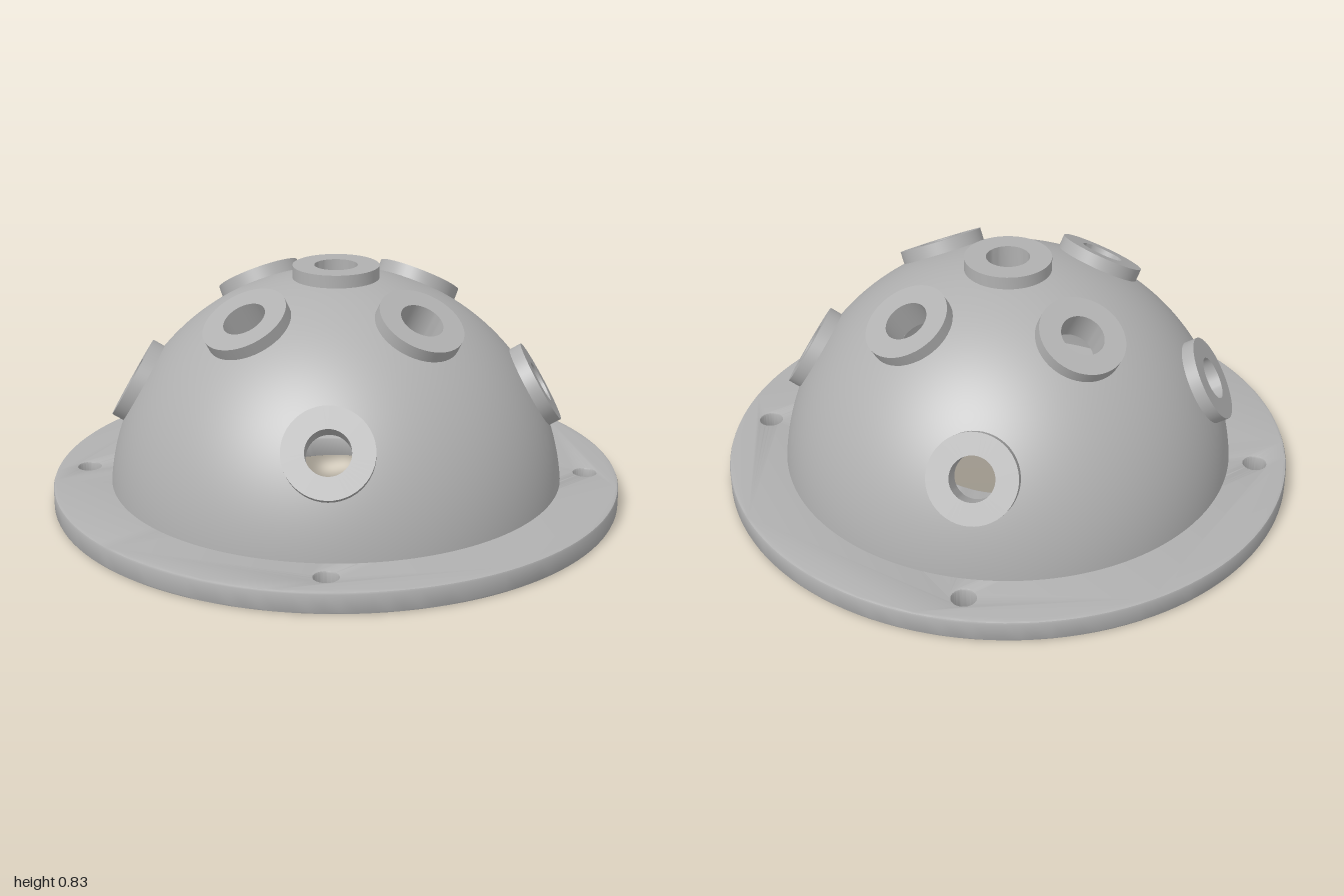
import * as THREE from 'three';
import { toCreasedNormals } from 'three/addons/utils/BufferGeometryUtils.js';

const OUTER = 0.8, INNER = 0.725, BASE = 0.075;
const PORT_HOLE = 0.075, PORT_RADIUS = 0.15, PORT_TOP = 0.83;

// Port directions: one on top, four at 60 degrees up, four at 30 degrees up
function portDirections() {
  const dirs = [new THREE.Vector3(0, 1, 0)];
  for (let i = 0; i < 4; i++) {
    for (const [polar, turn] of [[Math.PI / 6, 0], [Math.PI / 3, Math.PI / 4]]) {
      dirs.push(new THREE.Vector3().setFromSphericalCoords(1, polar, turn + i * Math.PI / 2));
    }
  }
  return dirs;
}

// Spherical shell whose vertices are pushed out to the rim of each round hole
function piercedDome(radius, holeRadius, dirs, inward) {
  const geo = new THREE.SphereGeometry(radius, 160, 56, 0, Math.PI * 2, 0, Math.acos((BASE - 0.003) / radius));
  const pos = geo.attributes.position, normal = geo.attributes.normal;
  const angle = Math.asin(holeRadius / radius);
  const hole = [];
  const v = new THREE.Vector3(), side = new THREE.Vector3();
  for (let i = 0; i < pos.count; i++) {
    v.fromBufferAttribute(pos, i).normalize();
    hole[i] = dirs.findIndex((d) => v.angleTo(d) < angle);
    if (hole[i] >= 0) {
      const d = dirs[hole[i]];
      side.copy(v).addScaledVector(d, -v.dot(d));
      if (side.lengthSq() < 1e-10) side.set(d.y, -d.x, 0);
      side.normalize();
      v.copy(d).multiplyScalar(Math.cos(angle)).addScaledVector(side, Math.sin(angle));
    }
    pos.setXYZ(i, v.x * radius, v.y * radius, v.z * radius);
    if (inward) v.negate();
    normal.setXYZ(i, v.x, v.y, v.z);
  }
  const kept = [], index = geo.index.array;
  for (let t = 0; t < index.length; t += 3) {
    const [a, b, c] = [index[t], index[t + 1], index[t + 2]];
    if (hole[a] >= 0 && hole[b] >= 0 && hole[c] >= 0) continue;
    kept.push(...(inward ? [a, c, b] : [a, b, c]));
  }
  geo.setIndex(kept);
  return geo;
}

// Round flange with a central opening and four bolt holes
function flangeGeometry() {
  const bevel = 0.008;
  const shape = new THREE.Shape().absarc(0, 0, 1, 0, Math.PI * 2, false);
  const addHole = (x, y, r) => shape.holes.push(new THREE.Path().absarc(x, y, r, 0, Math.PI * 2, true));
  addHole(0, 0, 0.32);
  for (const x of [-0.628, 0.628]) for (const y of [-0.628, 0.628]) addHole(x, y, 0.04);
  const geo = new THREE.ExtrudeGeometry(shape, {
    depth: BASE - 2 * bevel, curveSegments: 64,
    bevelEnabled: true, bevelThickness: bevel, bevelSize: bevel, bevelOffset: -bevel, bevelSegments: 2,
  });
  geo.rotateX(-Math.PI / 2);
  geo.translate(0, bevel, 0);
  return toCreasedNormals(geo, 0.5);
}

export function createModel() {
  const model = new THREE.Group();
  model.name = 'portedDome';
  const grey = new THREE.MeshStandardMaterial({ color: 0xb0b0b0 });
  grey.name = 'grey';
  const add = (name, geo) => {
    const mesh = new THREE.Mesh(geo, grey);
    mesh.name = name;
    model.add(mesh);
    return mesh;
  };
  const dirs = portDirections();

  add('flange', flangeGeometry());
  add('domeOuter', piercedDome(OUTER, 0.115, dirs, false));
  add('domeInner', piercedDome(INNER, PORT_HOLE, dirs, true));

  // Raised ring and bore of each port
  const boreEnd = Math.sqrt(INNER ** 2 - PORT_HOLE ** 2) - 0.002;
  const profile = [
    [PORT_RADIUS, 0.76], [PORT_RADIUS, PORT_TOP], [PORT_HOLE, PORT_TOP], [PORT_HOLE, boreEnd],
  ].map(([x, y]) => new THREE.Vector2(x, y));
  const portGeo = toCreasedNormals(new THREE.LatheGeometry(profile, 48), 0.6);
  const up = new THREE.Vector3(0, 1, 0);
  dirs.forEach((d) => add('port', portGeo).quaternion.setFromUnitVectors(up, d));

  return model;
}
